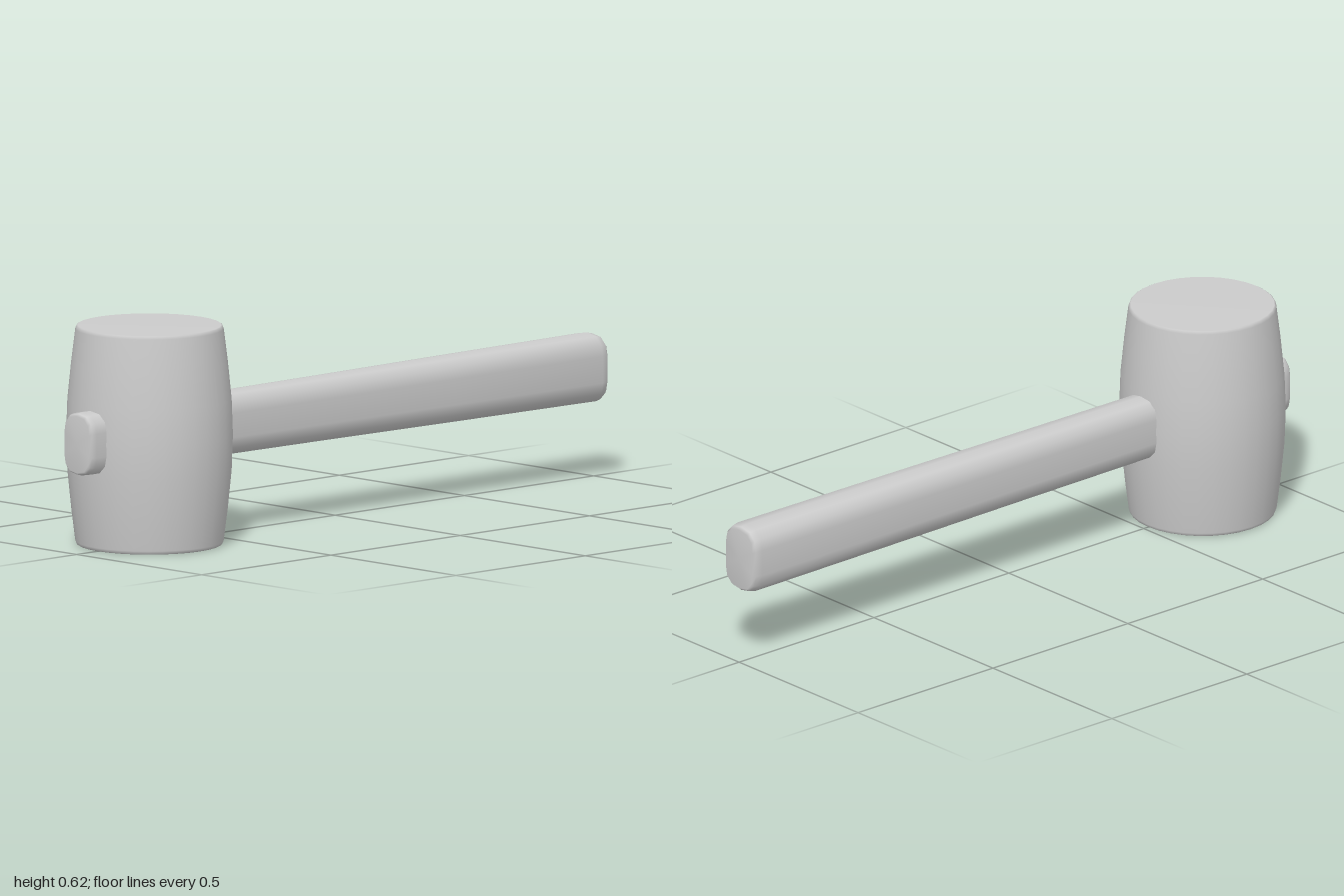
import * as THREE from 'three';

const MID_Y = 0.309;

// Loft a closed cross-section through rings of [z, half width, half height]
function loft(section, rings) {
  const n = section.length, pos = [], idx = [];
  for (const [z, w, h] of rings) for (const [x, y] of section) pos.push(x * w, y * h, z);
  for (let i = 0; i < rings.length - 1; i++) {
    for (let j = 0; j < n; j++) {
      const a = i * n + j, b = i * n + (j + 1) % n;
      idx.push(a, b, a + n, b, b + n, a + n);
    }
  }
  // End caps
  const last = (rings.length - 1) * n, c = rings.length * n;
  pos.push(0, 0, rings[0][0], 0, 0, rings[rings.length - 1][0]);
  for (let j = 0; j < n; j++) {
    const k = (j + 1) % n;
    idx.push(c, k, j, c + 1, last + j, last + k);
  }
  const g = new THREE.BufferGeometry();
  g.setAttribute('position', new THREE.Float32BufferAttribute(pos, 3));
  g.setIndex(idx);
  g.computeVertexNormals();
  return g;
}

export function createModel() {
  const model = new THREE.Group();
  model.name = 'mallet';
  const material = new THREE.MeshStandardMaterial({ color: 0xcccccc });

  // Barrel-shaped head with a small bevel at both faces
  const half = [[0, 0.308], [0.2, 0.308], [0.2035, 0.306], [0.2065, 0.298], [0.218, 0.205], [0.2285, 0.1]];
  const profile = [
    ...half.map(([r, y]) => new THREE.Vector2(r, -y)),
    new THREE.Vector2(0.232, 0),
    ...half.slice().reverse().map(([r, y]) => new THREE.Vector2(r, y)),
  ];
  const head = new THREE.Mesh(new THREE.LatheGeometry(profile, 32), material);
  head.name = 'head';
  head.position.set(0, 0.308, 0.718);
  model.add(head);

  // Handle: rounded section, mirrored from one quadrant, widening to the grip
  const quarter = [[1, 0.38], [0.9, 0.71], [0.58, 0.93]];
  const flip = (sx, sy) => quarter.map(([x, y]) => [x * sx, y * sy]);
  const section = [
    ...flip(1, 1), [0, 1], ...flip(-1, 1).reverse(),
    ...flip(-1, -1), [0, -1], ...flip(1, -1).reverse(),
  ];
  const handle = new THREE.Mesh(loft(section, [
    [-1, 0.056, 0.087],
    [-0.992, 0.062, 0.094],
    [-0.972, 0.066, 0.098],
    [-0.4, 0.0635, 0.095],
    [0.05, 0.061, 0.092],
    [0.5, 0.0585, 0.09],
    [0.978, 0.058, 0.089],
    [0.993, 0.055, 0.086],
    [1, 0.049, 0.08],
  ]), material);
  handle.name = 'handle';
  handle.position.y = MID_Y;
  model.add(handle);

  return model;
}
